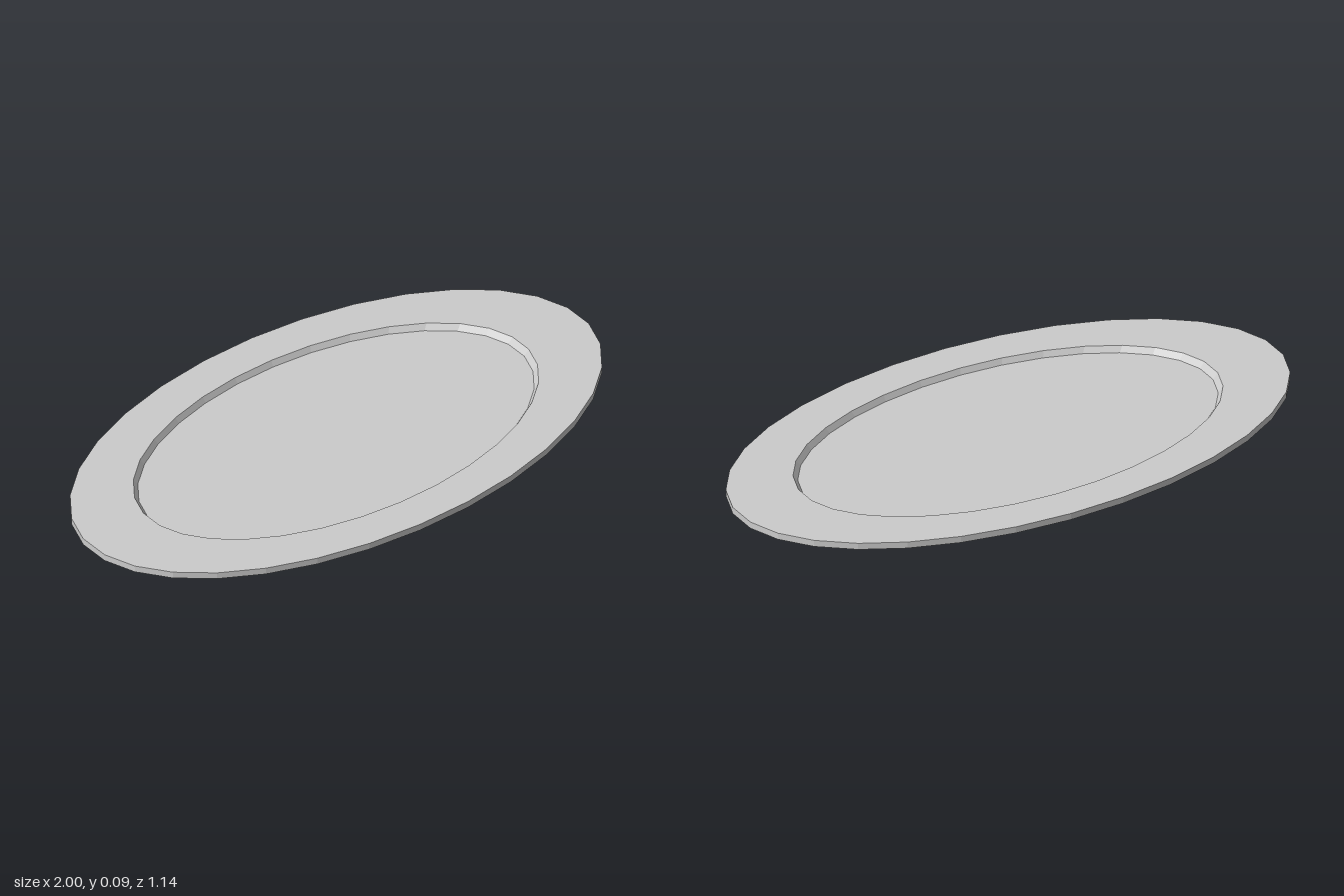
import * as THREE from 'three';

const DEPTH = 0.57; // oval ratio, z to x
const SIDES = 32;

// Turns a profile of [radius, height] around y and squeezes it into an oval
function oval(name, profile, material) {
  const points = profile.map(([r, y]) => new THREE.Vector2(r, y));
  const geometry = new THREE.LatheGeometry(points, SIDES);
  geometry.scale(1, 1, DEPTH);
  geometry.computeVertexNormals();
  const mesh = new THREE.Mesh(geometry, material);
  mesh.name = name;
  return mesh;
}

export function createModel() {
  const group = new THREE.Group();
  group.name = 'ovalPlate';
  const material = new THREE.MeshStandardMaterial({ color: 0xcccccc, flatShading: true });

  // Solid foot under the plate
  group.add(oval('foot', [[0, 0], [0.483, 0], [0.483, 0.025]], material));

  // Sloped underside, upright edge, flat rim and shallow well
  group.add(oval('plate', [
    [0.483, 0.025], [1, 0.071], [1, 0.092],
    [0.762, 0.092], [0.745, 0.073], [0, 0.073],
  ], material));

  return group;
}
